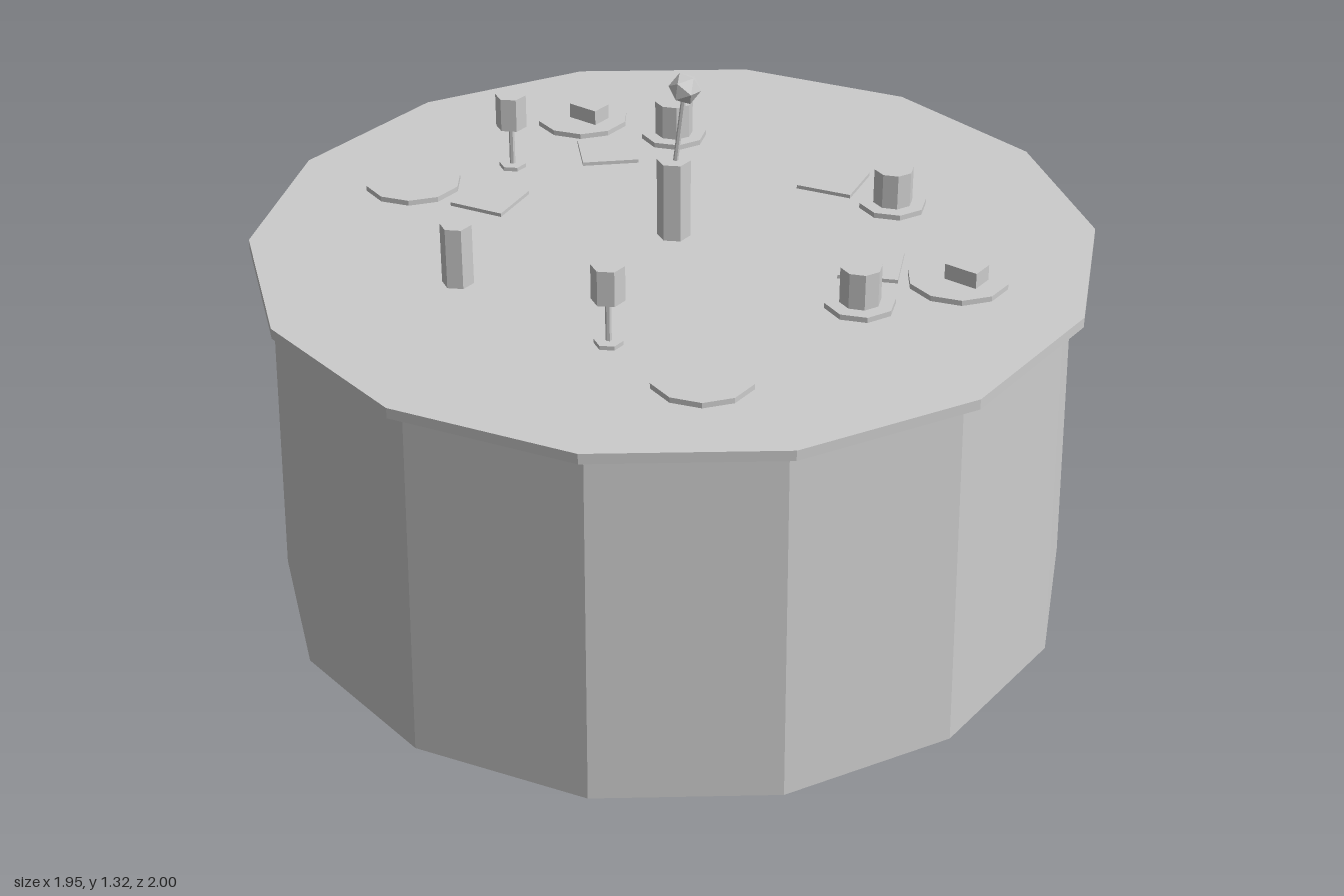
import * as THREE from 'three';

export function createModel() {
  const model = new THREE.Group();
  model.name = 'laidTable';
  const grey = new THREE.MeshStandardMaterial({ color: 0xcccccc });
  grey.name = 'plain grey';
  grey.flatShading = true;

  const TOP = 0.91; // height of the table surface

  function add(name, geometry, x, y, z, parent = model) {
    const mesh = new THREE.Mesh(geometry, grey);
    mesh.name = name;
    mesh.position.set(x, y, z);
    parent.add(mesh);
    return mesh;
  }
  // Upright prism standing on height y
  function prism(name, rTop, rBottom, height, sides, x, y, z, parent) {
    const geometry = new THREE.CylinderGeometry(rTop, rBottom, height, sides);
    return add(name, geometry, x, y + height / 2, z, parent);
  }
  // Group resting on the table surface
  function setting(name, x, z) {
    const group = new THREE.Group();
    group.name = name;
    group.position.set(x, TOP, z);
    model.add(group);
    return group;
  }

  // Tablecloth drum and overhanging top
  prism('tablecloth', 0.953, 0.975, 0.886, 14, 0, 0, 0);
  prism('tableTop', 1, 1, 0.025, 14, 0, TOP - 0.025, 0);

  // Plates, two with a piece of food
  for (const [x, z, foodX] of [
    [-0.58, -0.38, 0.022], [0.66, -0.2, 0.022], [-0.672, 0.168, null], [0.46, 0.51, null],
  ]) {
    const g = setting('plateSetting', x, z);
    prism('plate', 0.117, 0.117, 0.013, 10, 0, 0, 0, g);
    if (foodX !== null) add('food', new THREE.BoxGeometry(0.083, 0.04, 0.055), foodX, 0.031, 0, g);
  }

  // Cups on saucers
  for (const [x, z] of [[-0.33, -0.44], [0.33, -0.44], [0.545, 0.03]]) {
    const g = setting('cupSetting', x, z);
    prism('saucer', 0.082, 0.082, 0.013, 8, 0, 0, 0, g);
    prism('cup', 0.048, 0.048, 0.087, 8, 0, 0.013, 0, g);
  }

  // Folded napkins
  for (const [x, z, turn] of [
    [0.143, -0.463, 0.23], [-0.406, -0.263, 0.78], [0.463, -0.141, 0.46], [-0.467, 0.12, 0.19],
  ]) {
    add('napkin', new THREE.BoxGeometry(0.139, 0.009, 0.139), x, TOP + 0.0045, z).rotation.y = turn;
  }

  // Stemmed glasses
  for (const [x, z] of [[-0.545, -0.058], [0.203, 0.506]]) {
    const g = setting('stemGlass', x, z);
    prism('foot', 0.033, 0.033, 0.01, 6, 0, 0, 0, g);
    prism('stem', 0.007, 0.007, 0.105, 6, 0, 0.008, 0, g);
    prism('bowl', 0.038, 0.038, 0.084, 6, 0, 0.11, 0, g);
  }

  // Tumbler
  prism('tumbler', 0.037, 0.037, 0.148, 6, -0.249, TOP, 0.487);

  // Vase with a leaning flower
  prism('vase', 0.04, 0.04, 0.195, 6, 0, TOP, 0);
  const flower = new THREE.Group();
  flower.name = 'flower';
  flower.position.set(0.002, 1.08, 0);
  flower.rotation.set(-0.06, 0, -0.1);
  model.add(flower);
  prism('flowerStem', 0.006, 0.006, 0.2, 6, 0, 0, 0, flower);
  add('blossom', new THREE.IcosahedronGeometry(0.038, 0), 0, 0.208, 0, flower);

  return model;
}
